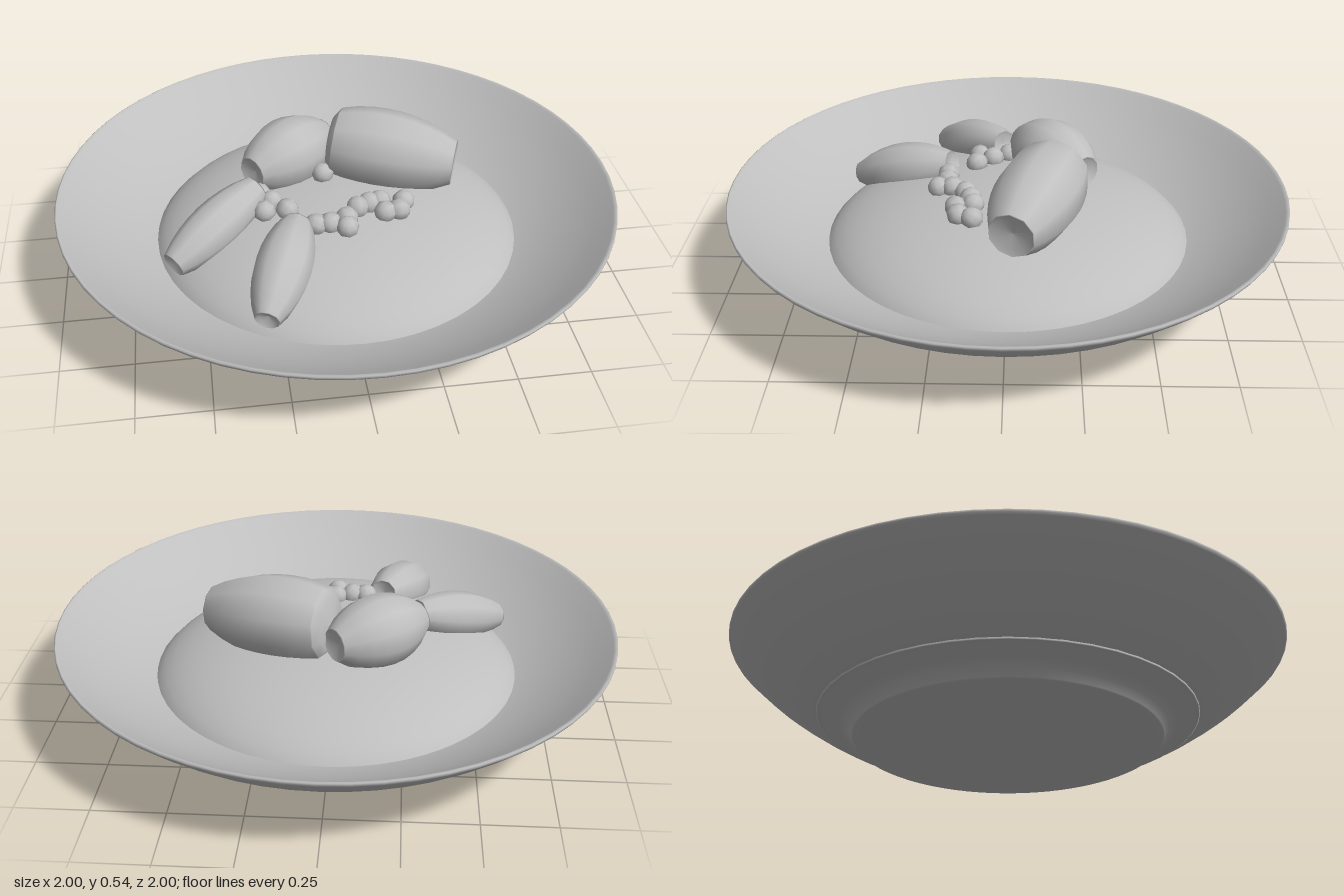
import * as THREE from 'three';

const grey = new THREE.MeshStandardMaterial({ color: 0xbfbfbf });
grey.name = 'plain grey';

function lathe(name, profile, segments) {
  const points = profile.map(([r, y]) => new THREE.Vector2(r, y));
  const mesh = new THREE.Mesh(new THREE.LatheGeometry(points, segments), grey);
  mesh.name = name;
  return mesh;
}

// Barrel-shaped piece lying between two points; dent is the depth of the
// hollow in its first end (negative for a rounded end)
function barrel(name, from, to, r0, rMid, r1, sides, dent = 0.02) {
  const a = new THREE.Vector3(...from), b = new THREE.Vector3(...to);
  const axis = b.clone().sub(a), length = axis.length();
  const profile = [[0, dent], [r0 * 0.75, dent * 0.6], [r0 * 0.97, 0], [r0, 0.004]];
  const steps = 8;
  for (let i = 1; i < steps; i++) {
    const t = i / steps;
    const ends = r0 + (r1 - r0) * t;
    const bulge = rMid - (r0 + r1) / 2;
    profile.push([ends + bulge * 4 * t * (1 - t), length * t]);
  }
  profile.push([r1, length - 0.004], [r1 * 0.97, length], [r1 * 0.75, length - 0.012], [0, length - 0.02]);
  const mesh = lathe(name, profile, sides);
  mesh.position.copy(a);
  mesh.quaternion.setFromUnitVectors(new THREE.Vector3(0, 1, 0), axis.normalize());
  return mesh;
}

export function createModel() {
  const model = new THREE.Group();
  model.name = 'platedMeal';

  // Bowl: recessed foot, flared outer wall, thin lip, shallower inner wall and floor
  model.add(lathe('bowl', [
    [0, 0.015], [0.5, 0.015], [0.53, 0.006], [0.545, 0], [0.55, 0], [0.553, 0.004],
    [0.57, 0.032], [0.6, 0.05], [0.66, 0.071], [0.7, 0.086], [0.76, 0.122], [0.82, 0.162],
    [0.88, 0.206], [0.94, 0.258], [0.995, 0.31], [1, 0.318], [1, 0.325], [0.995, 0.328],
    [0.985, 0.322], [0.93, 0.28], [0.87, 0.24], [0.81, 0.205], [0.75, 0.174], [0.69, 0.148],
    [0.64, 0.13], [0.6, 0.12], [0, 0.1],
  ], 64));

  // Domed bed of food: a flattened half ellipsoid whose base edge meets the bowl wall
  const dome = [[0, 0.072], [0.676, 0.072], [0.68, 0.074]];
  for (let i = 1; i <= 12; i++) {
    const t = (i / 12) * Math.PI / 2;
    dome.push([i === 12 ? 0 : 0.68 * Math.cos(t), 0.075 + 0.235 * Math.sin(t)]);
  }
  model.add(lathe('moundBed', dome, 48));

  // Four barrel-shaped pieces arranged around the middle
  model.add(
    barrel('largePiece', [0.025, 0.395, -0.17], [0.44, 0.362, -0.018], 0.128, 0.15, 0.084, 10, -0.035),
    barrel('backPiece', [-0.3, 0.362, -0.05], [-0.01, 0.367, -0.28], 0.06, 0.132, 0.06, 12),
    barrel('sidePiece', [-0.29, 0.34, 0.015], [-0.6, 0.215, 0.26], 0.053, 0.09, 0.048, 10),
    barrel('frontPiece', [-0.165, 0.318, 0.21], [-0.308, 0.205, 0.58], 0.052, 0.1, 0.044, 10),
  );

  // Scattered peas
  const peas = new THREE.Group();
  peas.name = 'peas';
  const spots = [
    [-0.24, 0.06], [-0.27, 0.11], [-0.19, 0.12], [-0.28, 0.0], [-0.05, 0.22], [-0.1, 0.22],
    [0.005, 0.25], [0.01, 0.2], [0.055, 0.15], [0.1, 0.13], [0.15, 0.18], [0.14, 0.12],
    [0.2, 0.17], [0.225, 0.12], [-0.04, -0.07],
  ];
  const peaShape = new THREE.SphereGeometry(0.041, 8, 6);
  spots.forEach(([x, z], i) => {
    const pea = new THREE.Mesh(peaShape, grey);
    pea.name = 'pea';
    pea.position.set(x, 0.333 - Math.hypot(x, z) * 0.1, z);
    pea.rotation.set(i * 0.7, i * 1.3, i * 0.4);
    peas.add(pea);
  });
  model.add(peas);
  return model;
}
